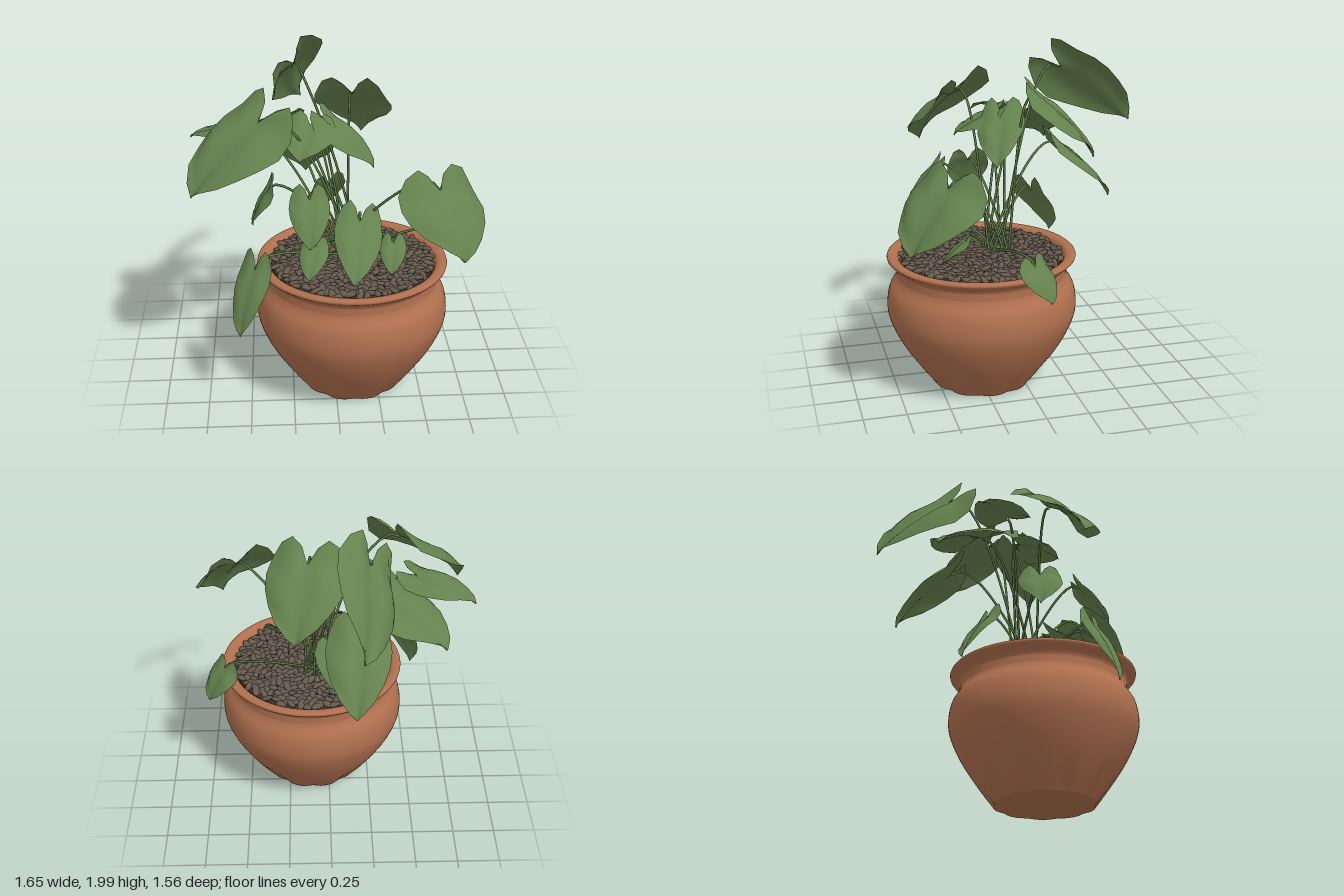
import * as THREE from 'three';
import { mergeGeometries } from 'three/addons/utils/BufferGeometryUtils.js';

const mat = (name, color, side = THREE.FrontSide) => {
  const m = new THREE.MeshStandardMaterial({ color, side });
  m.name = name;
  return m;
};
const V = (a) => new THREE.Vector3(...a);
const CX = 0.105, CZ = 0.22; // pot axis

// Large leaves: stem joint, tip, half width, roll about the midrib
const LARGE_LEAVES = {
  topBackLeaf: [[-0.21, 1.81, -0.35], [-0.17, 1.47, -0.78], 0.23, 0.88],
  leftBackLeaf: [[-0.33, 1.49, -0.14], [-0.65, 1.28, -0.38], 0.25, 0.1],
  rightBackLeaf: [[0.12, 1.69, -0.12], [0.2, 1.35, -0.43], 0.23, 0],
  bigFrontLeftLeaf: [[-0.42, 1.65, 0.25], [-0.8, 1.28, 0.42], 0.27, 0.25],
  bigFrontRightLeaf: [[0.56, 1.33, 0.5], [0.68, 1.0, 0.73], 0.27, 0.08],
  frontCenterLeaf: [[0.14, 1.06, 0.3], [0.09, 0.8, 0.6], 0.14, 0.2],
  centerLeaf: [[-0.03, 1.58, 0.06], [0.23, 1.33, 0.15], 0.14, -0.15],
  centerLeftLeaf: [[-0.13, 1.57, 0.08], [-0.2, 1.43, 0.31], 0.16, 0.1],
  hangingLeftLeaf: [[-0.46, 0.86, 0.48], [-0.55, 0.5, 0.6], 0.11, 0],
  rightRimLeaf: [[0.63, 0.87, 0.04], [0.73, 0.68, -0.03], 0.12, 0],
  leftLowLeaf: [[-0.37, 1.23, 0.19], [-0.47, 1.0, 0.19], 0.13, 0],
};

// Small leaves: stem joint and tip, the width follows from the length
const SMALL_LEAVES = {
  lowBackLeaf: [[-0.16, 1.34, -0.33], [-0.14, 1.0, -0.65]],
  farLeftLeaf: [[-0.5, 1.53, 0], [-0.83, 1.43, -0.14]],
  frontSmallLeaf: [[-0.12, 0.98, 0.45], [-0.16, 0.84, 0.6]],
  rightSmallLeaf: [[0.33, 0.95, 0.36], [0.31, 0.81, 0.49]],
  heartLeaf: [[-0.15, 1.26, 0.43], [-0.15, 1.03, 0.6]],
  backLowLeaf: [[-0.03, 1.11, -0.12], [-0.12, 0.82, -0.26]],
};

// Half outline of a heart-shaped leaf: across, along, matching midrib position
const OUTLINE = [
  [0.02, 0, 0], [0.2, -0.2, 0.02], [0.45, -0.3, 0.05], [0.72, -0.23, 0.1], [0.92, -0.05, 0.17],
  [1, 0.16, 0.27], [0.95, 0.36, 0.42], [0.78, 0.57, 0.6], [0.52, 0.77, 0.78], [0.22, 0.92, 0.92], [0, 1, 1],
];

function leafGeometry(base, tip, w, roll) {
  const axis = tip.clone().sub(base), len = axis.length();
  const side = new THREE.Vector3(-axis.z, 0, axis.x).normalize()
    .applyAxisAngle(axis.clone().normalize(), -roll);
  const normal = side.clone().cross(axis).normalize();
  const J = 4, cols = 2 * J + 1, pos = [], idx = [];
  OUTLINE.forEach(([eu, et, m], i) => {
    for (let j = -J; j <= J; j++) {
      const k = Math.abs(j) / J, u = (eu * j) / J, t = m + (et - m) * k;
      const tc = Math.max(t, 0);
      // raised beside the midrib, drooping at the margin, arched lengthwise
      const h = w * (0.5 * Math.abs(u) * (1 - Math.abs(u)) - 0.2 * u * u) + len * 0.25 * tc * (1 - tc)
        + w * 0.04 * Math.sin(i * 1.9 + j) * k;
      const p = base.clone().addScaledVector(axis, t).addScaledVector(side, u * w).addScaledVector(normal, h);
      pos.push(p.x, p.y, p.z);
      if (i && j < J) {
        const a = (i - 1) * cols + j + J, b = a + cols;
        idx.push(a, a + 1, b, a + 1, b + 1, b);
      }
    }
  });
  const g = new THREE.BufferGeometry();
  g.setAttribute('position', new THREE.Float32BufferAttribute(pos, 3));
  g.setIndex(idx);
  g.computeVertexNormals();
  return g;
}

// Arching stem from the crown of the plant to the leaf joint
function stemGeometry(base, tip, i) {
  const a = i * 2.4, root = new THREE.Vector3(0.08 + 0.07 * Math.cos(a), 0.77, 0.12 + 0.07 * Math.sin(a));
  const c1 = root.clone().lerp(base, 0.3);
  c1.y = root.y + (base.y - root.y) * 0.6;
  const c2 = base.clone().addScaledVector(tip.clone().sub(base), -0.35);
  c2.y += 0.02;
  return new THREE.TubeGeometry(new THREE.CubicBezierCurve3(root, c1, c2, base), 16, 0.0075, 6);
}

// Lathed pot with soft flutes pressed in near the foot
function potGeometry() {
  const v = (x, y) => new THREE.Vector2(x, y);
  const belly = new THREE.SplineCurve([
    v(0.302, 0.004), v(0.395, 0.13), v(0.49, 0.28), v(0.548, 0.41), v(0.56, 0.5), v(0.545, 0.59), v(0.51, 0.65), v(0.498, 0.68),
  ]).getPoints(28);
  const rim = new THREE.SplineCurve([
    v(0.497, 0.72), v(0.51, 0.745), v(0.553, 0.78), v(0.54, 0.8), v(0.49, 0.785), v(0.47, 0.7),
  ]).getPoints(20);
  const g = new THREE.LatheGeometry([v(0, 0), v(0.285, 0), v(0.3, 0), ...belly, ...rim], 80);
  const p = g.attributes.position;
  for (let i = 0; i < p.count; i++) {
    const x = p.getX(i), y = p.getY(i), z = p.getZ(i), a = Math.atan2(z, x);
    const f = 1 - 0.05 * Math.max(0, 1 - y / 0.2) * Math.pow(Math.abs(Math.sin(a * 5)), 4);
    p.setXYZ(i, x * f, y, z * f);
  }
  g.computeVertexNormals();
  return g;
}

// Flattened, overlapping pebbles in a sunflower pattern
function pebbleGeometry() {
  let seed = 7;
  const rnd = () => (seed = (seed * 16807) % 2147483647) / 2147483647;
  const list = [], n = 480, o = new THREE.Object3D();
  for (let i = 0; i < n; i++) {
    const r = 0.465 * Math.sqrt((i + 0.5) / n), a = i * 2.39996;
    o.position.set(CX + r * Math.cos(a), 0.776 + rnd() * 0.014, CZ + r * Math.sin(a));
    o.rotation.set((rnd() - 0.5) * 0.8, rnd() * Math.PI * 2, (rnd() - 0.5) * 0.8);
    o.scale.set(0.034 + rnd() * 0.012, 0.014, 0.018 + rnd() * 0.006);
    o.updateMatrix();
    list.push(new THREE.SphereGeometry(1, 8, 6).applyMatrix4(o.matrix));
  }
  return mergeGeometries(list);
}

export function createModel() {
  const model = new THREE.Group();
  model.name = 'pottedPlant';
  const terracotta = mat('terracotta', 0xb0704f, THREE.DoubleSide);
  const leafGreen = mat('leafGreen', 0x64824e, THREE.DoubleSide);
  const stemGreen = mat('stemGreen', 0x5c7a46);
  const pebbleBrown = mat('pebbleBrown', 0x665a4e);
  const soilBrown = mat('soilBrown', 0x40352d);
  const add = (name, geo, material, parent = model) => {
    const m = new THREE.Mesh(geo, material);
    m.name = name;
    parent.add(m);
    return m;
  };

  add('pot', potGeometry(), terracotta).position.set(CX, 0, CZ);
  add('soil', new THREE.CylinderGeometry(0.475, 0.475, 0.02, 48), soilBrown).position.set(CX, 0.762, CZ);
  add('pebbles', pebbleGeometry(), pebbleBrown);

  // Leaves, each a blade on its stem
  Object.entries({ ...LARGE_LEAVES, ...SMALL_LEAVES }).forEach(([name, [b, t, width, roll = 0]], i) => {
    const leaf = new THREE.Group();
    leaf.name = name;
    model.add(leaf);
    const base = V(b), tip = V(t);
    add('blade', leafGeometry(base, tip, width ?? 0.4 * base.distanceTo(tip), roll), leafGreen, leaf);
    add('stem', stemGeometry(base, tip, i), stemGreen, leaf);
  });
  return model;
}
